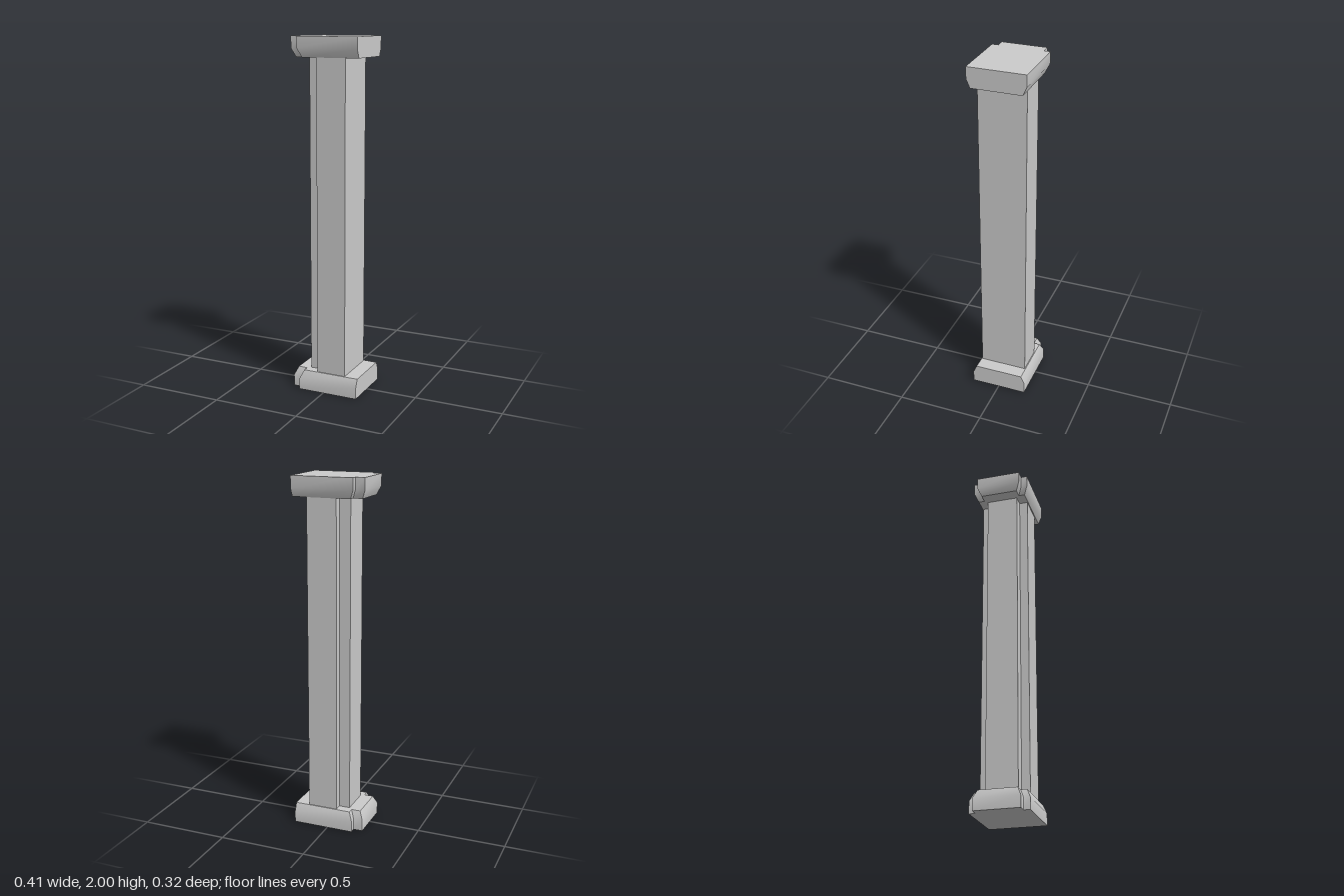
import * as THREE from 'three';
import { mergeGeometries } from 'three/addons/utils/BufferGeometryUtils.js';

const HEIGHT = 2;
const BLOCK = 0.112; // height of base and capital

// T-shaped plan: wide body towards +x, narrower tongue towards -x, counter-clockwise
function plan(right, step, left, wide, narrow) {
  return [
    [left, -narrow], [step, -narrow], [step, -wide], [right, -wide],
    [right, wide], [step, wide], [step, narrow], [left, narrow],
  ].map(([x, y]) => new THREE.Vector2(x, y));
}

// Plan of the base drawn in by d on every side except the flat +x end
const blockPlan = (d) => plan(0.203, -0.15 + d, -0.203 + d, 0.162 - d, 0.127 - d);

// Base block: upright lower half, then sides leaning in; each side smooth vertically
function blockGeometry() {
  const rows = [[0, 0], [0.065, 0], [BLOCK, 0.021]];
  const rings = rows.map(([y, d]) => blockPlan(d).map((p) => new THREE.Vector3(p.x, y, -p.y)));
  const parts = [];
  const count = rings[0].length;
  for (let i = 0; i < count; i++) {
    const j = (i + 1) % count;
    const points = rings.flatMap((ring) => [ring[i], ring[j]]);
    const index = [];
    for (let r = 0; r < rows.length - 1; r++) {
      const a = r * 2;
      index.push(a, a + 1, a + 3, a, a + 3, a + 2);
    }
    const side = new THREE.BufferGeometry().setFromPoints(points);
    side.setIndex(index);
    side.computeVertexNormals();
    parts.push(side);
  }
  // Flat top and bottom
  const top = new THREE.ShapeGeometry(new THREE.Shape(blockPlan(0.021)));
  top.rotateX(-Math.PI / 2).translate(0, BLOCK, 0);
  const bottom = new THREE.ShapeGeometry(new THREE.Shape(blockPlan(0)));
  bottom.rotateX(Math.PI / 2);
  for (const g of [top, bottom]) {
    g.deleteAttribute('uv');
    parts.push(g);
  }
  return mergeGeometries(parts);
}

export function createModel() {
  const group = new THREE.Group();
  group.name = 'pillar';
  const material = new THREE.MeshStandardMaterial({ color: 0xcccccc });

  // Shaft
  const shaftShape = new THREE.Shape(plan(0.123, -0.047, -0.11, 0.136, 0.089));
  const shaftGeometry = new THREE.ExtrudeGeometry(shaftShape, {
    depth: HEIGHT - 2 * BLOCK, bevelEnabled: false,
  });
  shaftGeometry.rotateX(-Math.PI / 2).translate(0, BLOCK, 0);
  const shaft = new THREE.Mesh(shaftGeometry, material);
  shaft.name = 'shaft';

  // Base, and the same block turned over as the capital
  const geometry = blockGeometry();
  const base = new THREE.Mesh(geometry, material);
  base.name = 'base';
  const capital = new THREE.Mesh(geometry, material);
  capital.name = 'capital';
  capital.rotation.x = Math.PI;
  capital.position.y = HEIGHT;

  group.add(shaft, base, capital);
  return group;
}
